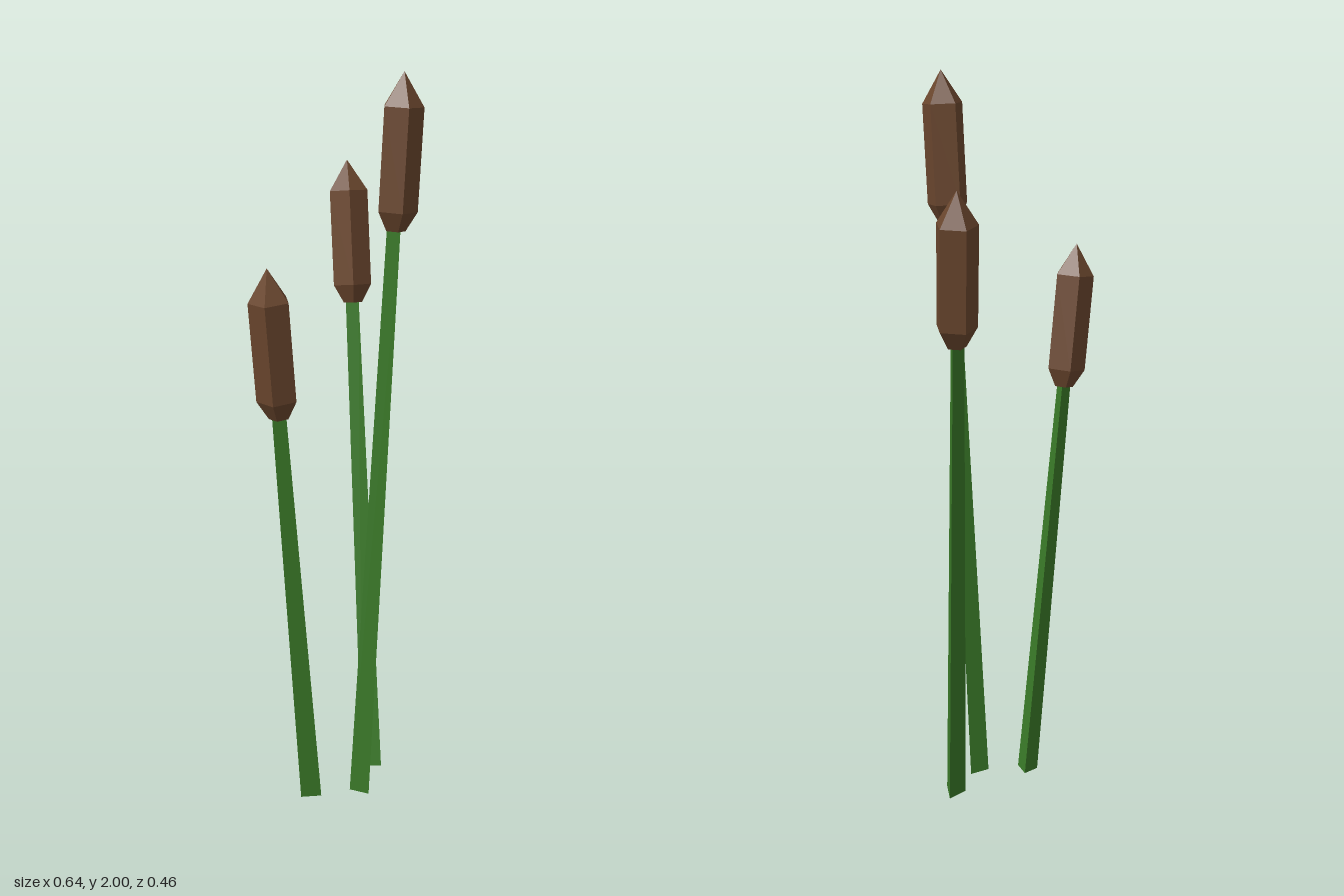
import * as THREE from 'three';

const green = new THREE.MeshStandardMaterial({ color: 0x3a7a28, flatShading: true });
const brown = new THREE.MeshStandardMaterial({ color: 0x6b472e, flatShading: true });

const HEAD = 0.395; // length of the seed head

// One reed: a tapered three-sided stem with a five-sided seed head, leaning from base to tip
function makeReed(name, base, tip, twist) {
  const start = new THREE.Vector3(...base);
  const lean = new THREE.Vector3(...tip).sub(start);
  const length = lean.length();
  const reed = new THREE.Group();
  reed.name = name;

  const stemLength = length - HEAD + 0.02;
  const stem = new THREE.Mesh(new THREE.CylinderGeometry(0.021, 0.033, stemLength, 3), green);
  stem.name = 'stem';
  stem.position.y = stemLength / 2;

  // Seed head: short lower bevel, straight body, pointed top
  const profile = [[0, 0], [0.027, 0], [0.055, 0.05], [0.055, 0.31], [0, HEAD]]
    .map(([r, y]) => new THREE.Vector2(r, y));
  const head = new THREE.Mesh(new THREE.LatheGeometry(profile, 5), brown);
  head.name = 'seedHead';
  head.position.y = length - HEAD;

  reed.add(stem, head);
  reed.position.copy(start);
  reed.quaternion
    .setFromUnitVectors(new THREE.Vector3(0, 1, 0), lean.normalize())
    .multiply(new THREE.Quaternion().setFromAxisAngle(
      new THREE.Vector3(0, 1, 0), THREE.MathUtils.degToRad(twist)));
  return reed;
}

export function createModel() {
  const model = new THREE.Group();
  model.name = 'reeds';
  model.add(
    makeReed('rightReed', [-0.099, 0.005, 0], [-0.285, 1.535, 0.027], 12),
    makeReed('middleReed', [0.015, 0.002, 0.09], [0.05, 2, 0.187], 110),
    makeReed('leftReed', [0.148, 0.005, 0.022], [0.273, 1.745, -0.187], -118),
  );
  return model;
}
